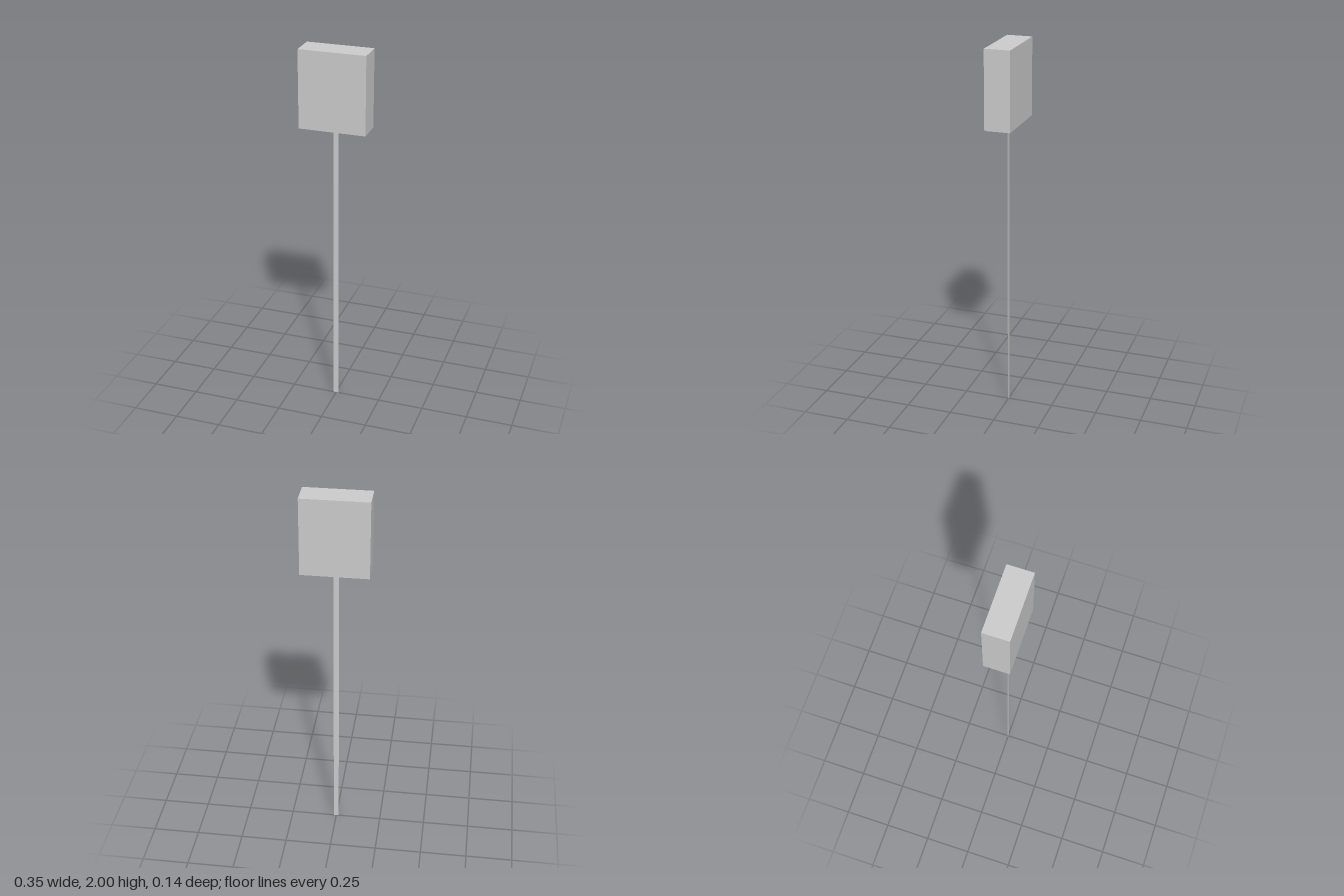
import * as THREE from 'three';

export function createModel() {
  const group = new THREE.Group();
  const grey = new THREE.MeshStandardMaterial({ color: 0xcccccc, flatShading: true });
  const thin = grey.clone();
  thin.side = THREE.DoubleSide;

  const headBottom = 1.588, headTop = 2;

  // Rectangular block at the top
  const head = new THREE.Mesh(
    new THREE.BoxGeometry(0.352, headTop - headBottom, 0.135), grey);
  head.name = 'head';
  head.position.y = (headTop + headBottom) / 2;
  group.add(head);

  // Paper-thin flat stick, facing front and back
  const stick = new THREE.Mesh(new THREE.PlaneGeometry(0.028, headBottom), thin);
  stick.name = 'stick';
  stick.position.y = headBottom / 2;
  group.add(stick);

  return group;
}
